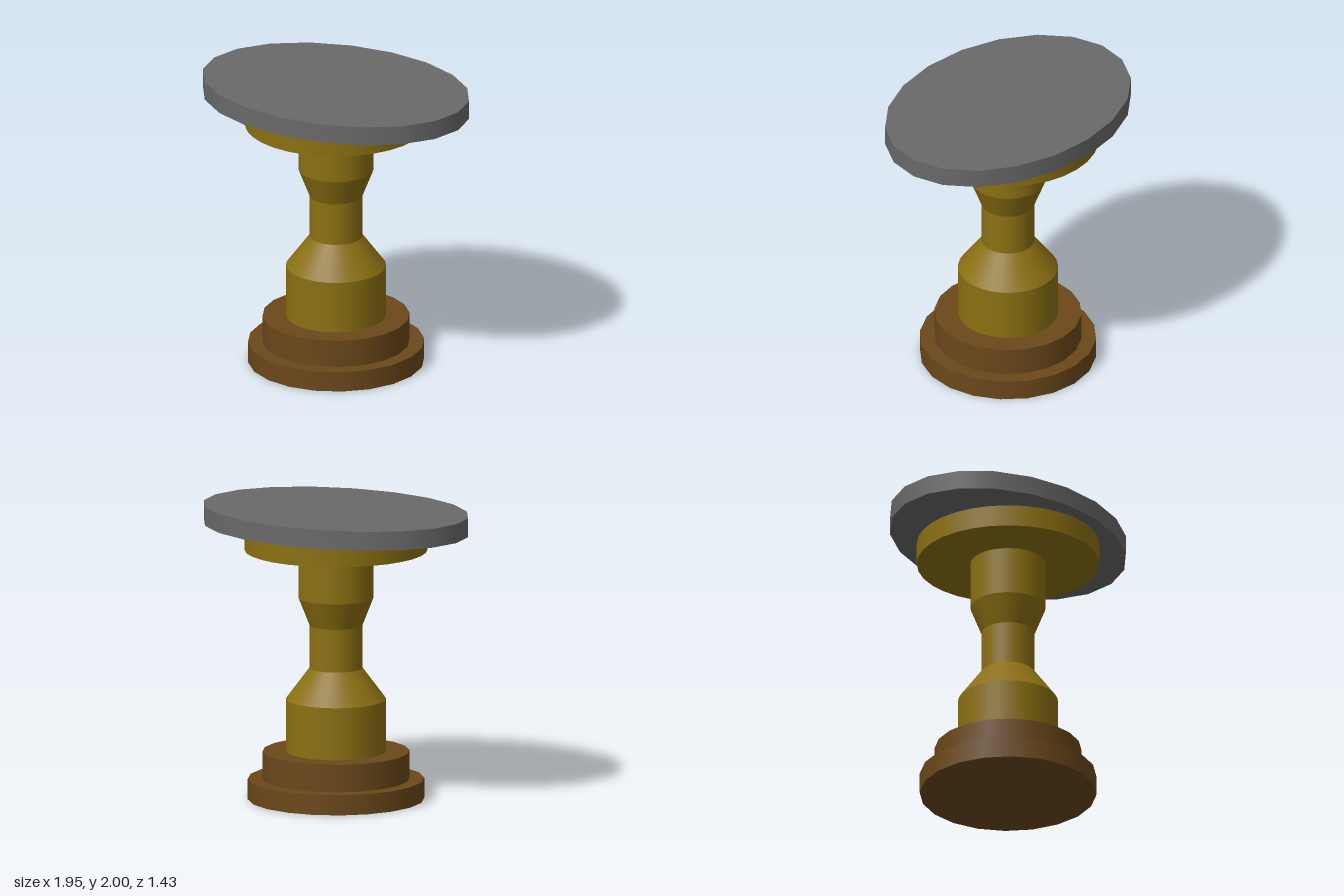
import * as THREE from 'three';

export function createModel() {
  const model = new THREE.Group();
  model.name = 'pedestalTable';

  const wood = new THREE.MeshStandardMaterial({ color: 0x6b481a });
  const brass = new THREE.MeshStandardMaterial({ color: 0x8b7012 });
  const stone = new THREE.MeshStandardMaterial({ color: 0x696969 });

  // Upright round section between two heights
  function section(name, material, y0, y1, rBottom, rTop, sides) {
    const geometry = new THREE.CylinderGeometry(rTop, rBottom, y1 - y0, sides);
    const mesh = new THREE.Mesh(geometry, material);
    mesh.name = name;
    mesh.position.y = (y0 + y1) / 2;
    model.add(mesh);
    return mesh;
  }

  // Stepped base
  section('lowerBase', wood, 0, 0.14, 0.6, 0.6, 20);
  section('upperBase', wood, 0.14, 0.33, 0.5, 0.5, 20);

  // Turned column
  section('columnFoot', brass, 0.33, 0.69, 0.34, 0.34, 32);
  section('lowerTaper', brass, 0.69, 0.905, 0.34, 0.18, 32);
  section('columnWaist', brass, 0.905, 1.2, 0.18, 0.18, 32);
  section('upperTaper', brass, 1.2, 1.39, 0.18, 0.255, 32);
  section('columnNeck', brass, 1.39, 1.72, 0.255, 0.255, 32);
  section('supportPlate', brass, 1.72, 1.87, 0.62, 0.62, 32);

  // Oval top
  const top = section('ovalTop', stone, 1.87, 2, 1, 1, 20);
  top.geometry.scale(0.973, 1, 0.716);

  return model;
}
